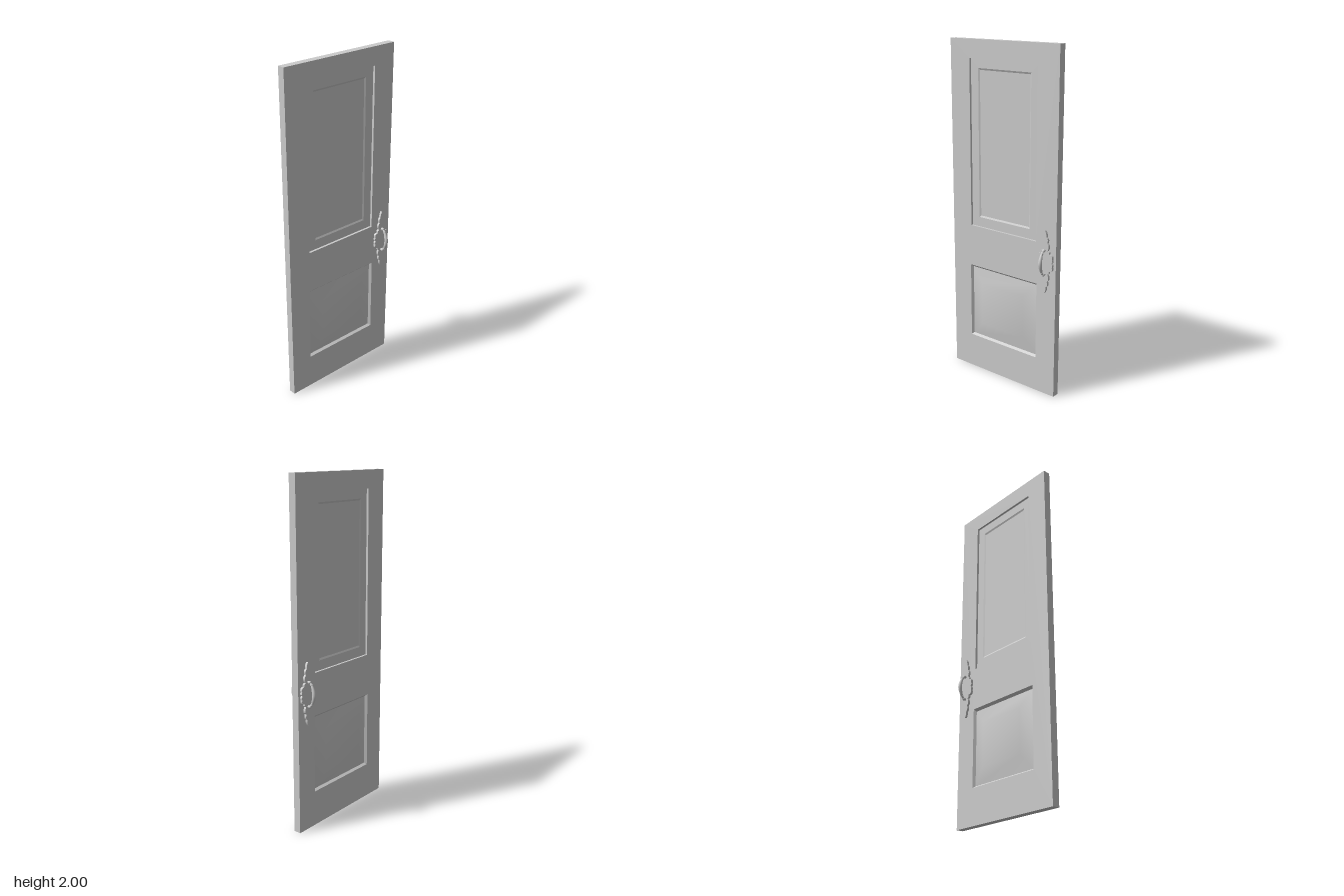
import * as THREE from 'three';
import { toCreasedNormals } from 'three/addons/utils/BufferGeometryUtils.js';

const FACE = 0.0215; // half the door thickness
const mat = new THREE.MeshStandardMaterial({ color: 0xcccccc });

function part(name, geometry, parent) {
  const mesh = new THREE.Mesh(geometry, mat);
  mesh.name = name;
  parent.add(mesh);
  return mesh;
}

function rectPath(path, hz, y0, y1) {
  path.moveTo(-hz, y0).lineTo(hz, y0).lineTo(hz, y1).lineTo(-hz, y1).closePath();
  return path;
}

// Nested rectangles [half width, bottom, top, x], joined outside to inside and capped
function steppedPanel(rings) {
  const pos = [], index = [];
  for (const [w, y0, y1, x] of rings) {
    pos.push(x, y0, w, x, y0, -w, x, y1, -w, x, y1, w);
  }
  for (let r = 0; r < rings.length - 1; r++) {
    for (let k = 0; k < 4; k++) {
      const a = r * 4 + k, b = r * 4 + (k + 1) % 4;
      index.push(a, b, b + 4, a, b + 4, a + 4);
    }
  }
  const c = (rings.length - 1) * 4;
  index.push(c, c + 1, c + 2, c, c + 2, c + 3);
  const g = new THREE.BufferGeometry();
  g.setAttribute('position', new THREE.Float32BufferAttribute(pos, 3));
  g.setIndex(index);
  return toCreasedNormals(g, 0.4);
}

// Scalloped backplate, symmetric about both axes
function plateGeometry() {
  // one quarter, tip to side: control point, then cusp
  const lobes = [
    [0.012, 0.168, 0.011, 0.145],
    [0.026, 0.138, 0.017, 0.112],
    [0.036, 0.098, 0.019, 0.068],
    [0.034, 0.066, 0.030, 0.050],
    [0.058, 0.050, 0.050, 0.022],
    [0.058, 0.010, 0.046, 0.000],
  ];
  const s = new THREE.Shape().moveTo(0, 0.183);
  const down = (sx, sy) => lobes.forEach(([a, b, c, d]) =>
    s.quadraticCurveTo(sx * a, sy * b, sx * c, sy * d));
  const back = (sx, sy) => {
    for (let i = lobes.length - 1; i >= 0; i--) {
      const [a, b] = lobes[i];
      const [c, d] = i ? lobes[i - 1].slice(2) : [0, 0.183];
      s.quadraticCurveTo(sx * a, sy * b, sx * c, sy * d);
    }
  };
  down(1, 1);
  back(1, -1);
  down(-1, -1);
  back(-1, 1);
  const g = new THREE.ExtrudeGeometry(s, { depth: 0.0135, bevelEnabled: false, curveSegments: 8 });
  return toCreasedNormals(g.rotateY(Math.PI / 2), 0.5);
}

// Bowed grip, thickest in the middle
function gripGeometry() {
  const curve = new THREE.CatmullRomCurve3([
    [0.040, 0.070], [0.055, 0.062], [0.069, 0.035], [0.076, 0],
    [0.069, -0.035], [0.055, -0.062], [0.040, -0.070],
  ].map(([x, y]) => new THREE.Vector3(x, y, 0)));
  const N = 40, R = 14;
  const g = new THREE.TubeGeometry(curve, N, 1, R);
  const p = g.attributes.position, v = new THREE.Vector3();
  for (let i = 0; i <= N; i++) {
    const c = curve.getPointAt(i / N);
    const r = 0.0055 + 0.0055 * Math.sin(Math.PI * i / N) ** 2;
    for (let j = 0; j <= R; j++) {
      const k = i * (R + 1) + j;
      v.fromBufferAttribute(p, k).sub(c).multiplyScalar(r).add(c);
      p.setXYZ(k, v.x, v.y, v.z);
    }
  }
  g.computeVertexNormals();
  return g;
}

function makeHandle() {
  const handle = new THREE.Group();
  handle.name = 'handle';
  part('backplate', plateGeometry(), handle).position.x = FACE;
  part('grip', gripGeometry(), handle);
  for (const s of [1, -1]) {
    // post, ball and collar at each end of the grip
    const post = part('gripPost', new THREE.CylinderGeometry(0.006, 0.009, 0.014, 14).rotateZ(-Math.PI / 2), handle);
    post.position.set(0.037, s * 0.07, 0);
    part('gripBall', new THREE.SphereGeometry(0.0095, 16, 12), handle).position.set(0.045, s * 0.07, 0);
    const collar = part('gripCollar', new THREE.TorusGeometry(0.0055, 0.003, 8, 16).rotateX(Math.PI / 2), handle);
    collar.position.set(0.059, s * 0.056, 0);
    collar.rotation.z = s * 0.5;
  }
  return handle;
}

export function createModel() {
  const door = new THREE.Group();
  door.name = 'door';

  // Frame with two panel openings
  const outline = rectPath(new THREE.Shape(), 0.38, 0, 2);
  outline.holes.push(
    rectPath(new THREE.Path(), 0.24, 0.92, 1.895),
    rectPath(new THREE.Path(), 0.248, 0.21, 0.67));
  const frame = new THREE.ExtrudeGeometry(outline, { depth: FACE * 2, bevelEnabled: false });
  part('doorFrame', frame.translate(0, 0, -FACE).rotateY(Math.PI / 2), door);

  // Panels and handle repeat on both faces
  for (const [name, turn] of [['leftFace', 0], ['rightFace', Math.PI]]) {
    const side = new THREE.Group();
    side.name = name;
    part('upperPanel', steppedPanel([
      [0.24, 0.92, 1.895, 0.008],
      [0.187, 0.977, 1.842, 0.008],
      [0.178, 0.987, 1.832, 0.003],
    ]), side);
    part('lowerPanel', steppedPanel([
      [0.248, 0.21, 0.67, FACE],
      [0.238, 0.22, 0.657, 0.007],
      [0.155, 0.31, 0.57, 0.028],
    ]), side);
    side.rotation.y = turn;
    door.add(side);

    const handle = makeHandle();
    handle.position.set(0, 0.817, -0.312);
    handle.rotation.y = turn;
    door.add(handle);
  }
  return door;
}
